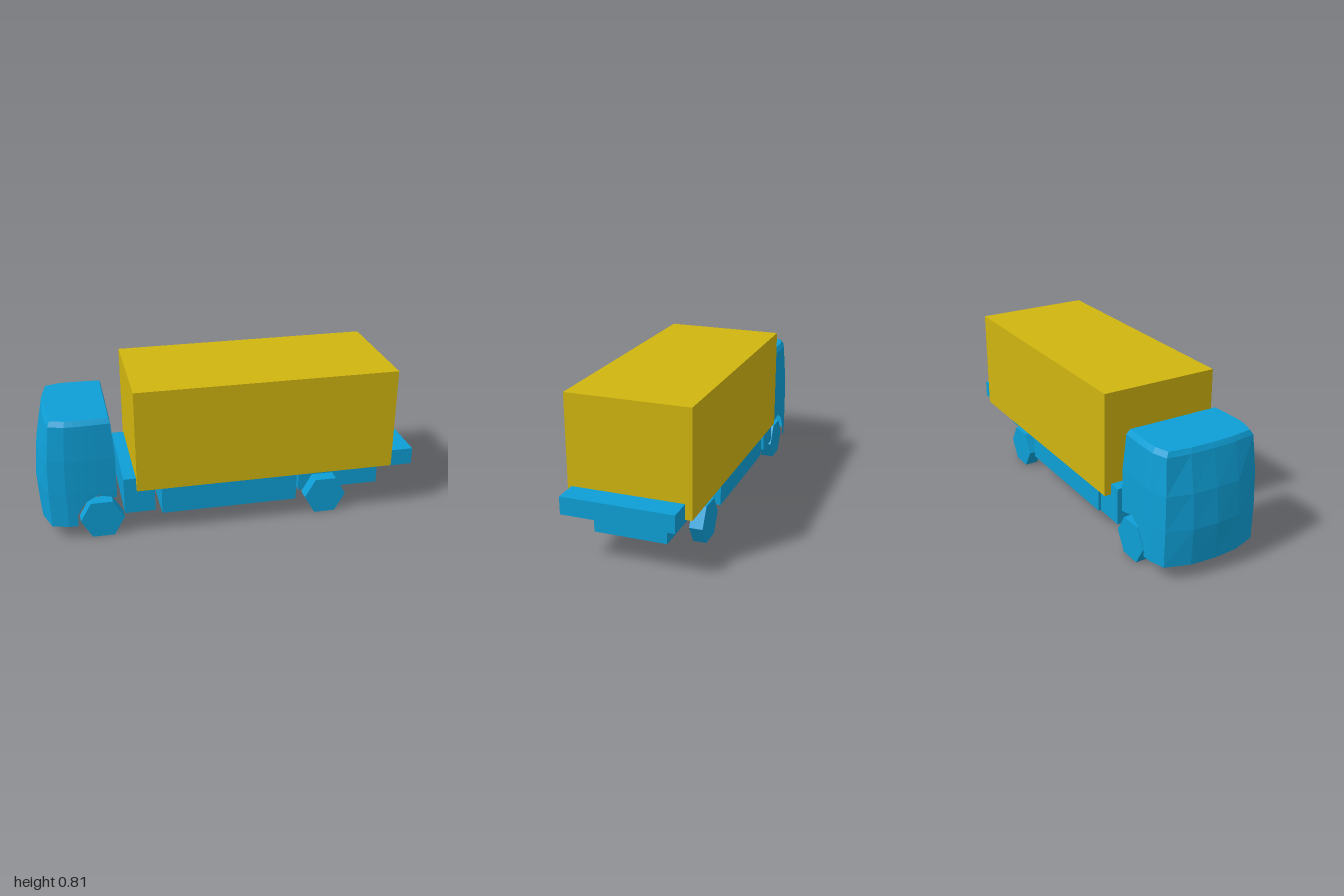
import * as THREE from 'three';

const paint = (color, side = THREE.FrontSide) =>
  new THREE.MeshStandardMaterial({ color, side, flatShading: true });

// Open-bottomed cab shell: upright columns around the plan, joined row by row
function cabGeometry() {
  // k: share of the front bulge, s: position from corner (0) to rear (1), z: half width, b: bottom edge
  const half = [
    { k: 1, s: 0, z: 0, b: 0.075 },
    { k: 0.82, s: 0, z: 0.13, b: 0.075 },
    { k: 0, s: 0, z: 0.255, b: 0.077 },
    { k: 0, s: 0.25, z: 0.28, b: 0.077 },
    { k: 0, s: 0.39, z: 0.282, b: 0.077 },
    // wheel arch
    { k: 0, s: 0.395, z: 0.282, b: 0.14 },
    { k: 0, s: 0.45, z: 0.282, b: 0.175 },
    { k: 0, s: 0.54, z: 0.282, b: 0.215 },
    { k: 0, s: 0.71, z: 0.28, b: 0.245 },
    { k: 0, s: 1, z: 0.275, b: 0.22 },
  ];
  const columns = [
    ...half.slice(1).reverse().map((c) => ({ ...c, z: -c.z })),
    ...half,
  ];
  // y, front x, corner x, rear x, width factor
  const rows = [
    [null, -0.99, -0.94, -0.6, 1.01],
    [0.27, -1.0, -0.945, -0.6, 1.01],
    [0.45, -0.983, -0.94, -0.6, 1],
    [0.635, -0.943, -0.92, -0.613, 0.96],
    [0.66, -0.93, -0.91, -0.62, 0.9],
  ];
  const at = (r, i) => {
    const c = columns[i % columns.length];
    const [y, front, corner, rear, w] = rows[r];
    return [corner + (front - corner) * c.k + (rear - corner) * c.s, y ?? c.b, c.z * w];
  };
  const pos = [];
  const top = rows.length - 1;
  for (let i = 0; i < columns.length; i++) {
    for (let r = 0; r < top; r++) {
      const a = at(r, i), b = at(r, i + 1), c = at(r + 1, i + 1), d = at(r + 1, i);
      pos.push(...a, ...b, ...c, ...a, ...c, ...d);
    }
    pos.push(-0.77, 0.66, 0, ...at(top, i), ...at(top, i + 1)); // roof
  }
  const g = new THREE.BufferGeometry();
  g.setAttribute('position', new THREE.Float32BufferAttribute(pos, 3));
  g.computeVertexNormals();
  return g;
}

export function createModel() {
  const truck = new THREE.Group();
  truck.name = 'boxTruck';
  const blue = paint(0x0e9fd6);
  const yellow = paint(0xd0b50f);

  const add = (name, geometry, material) => {
    const mesh = new THREE.Mesh(geometry, material);
    mesh.name = name;
    truck.add(mesh);
    return mesh;
  };
  // Block given by its limits on each axis
  const block = (name, material, [x0, x1], [y0, y1], [z0, z1]) =>
    add(name, new THREE.BoxGeometry(x1 - x0, y1 - y0, z1 - z0), material)
      .position.set((x0 + x1) / 2, (y0 + y1) / 2, (z0 + z1) / 2);

  add('cab', cabGeometry(), paint(0x0e9fd6, THREE.DoubleSide));

  // Load bed and body
  block('cargoBox', yellow, [-0.5, 0.875], [0.263, 0.808], [-0.315, 0.315]);
  block('deck', blue, [-0.39, 1], [0.251, 0.342], [-0.28, 0.295]);
  block('cabRearTank', blue, [-0.565, -0.405], [0.125, 0.322], [-0.28, 0.285]);
  block('sideSkirtBox', blue, [-0.37, 0.355], [0.105, 0.251], [-0.275, 0.29]);
  block('rearChassisBox', blue, [0.395, 0.845], [0.105, 0.251], [-0.178, 0.2]);

  // Six-sided wheels, corners pointing fore and aft
  const wheel = new THREE.CylinderGeometry(0.114, 0.114, 0.07, 6)
    .rotateY(Math.PI / 6)
    .rotateX(Math.PI / 2);
  for (const [name, x] of [['frontWheel', -0.68], ['rearWheel', 0.525]]) {
    for (const side of [-1, 1]) {
      add(name, wheel, blue).position.set(x, 0.0987, side * 0.244);
    }
  }
  return truck;
}
